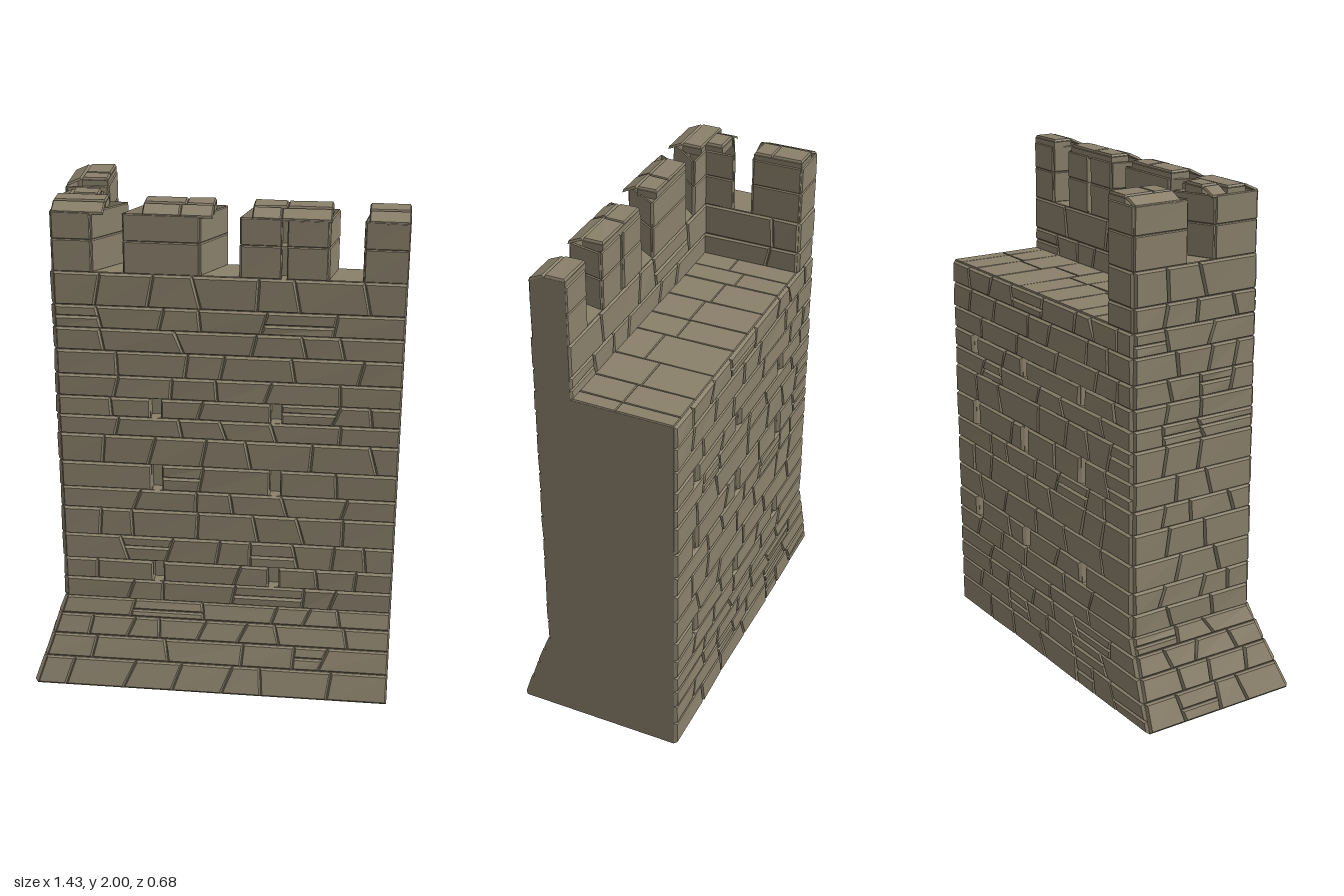
import * as THREE from 'three';

const stone = new THREE.MeshStandardMaterial({ color: 0x8a806b, side: THREE.DoubleSide });
stone.name = 'stone';

// Small seeded random generator
let seed = 11;
const rnd = (a = 0, b = 1) => {
  seed = (seed * 16807) % 2147483647;
  return a + (b - a) * (seed / 2147483647);
};
const lerp = (a, b, t) => a + (b - a) * t;

// Flat-shaded mesh from a list of quads, corners counter-clockwise
function quadMesh(name, quads) {
  const pos = [];
  for (const [a, b, c, d] of quads) for (const p of [a, b, c, a, c, d]) pos.push(p.x, p.y, p.z);
  const geo = new THREE.BufferGeometry();
  geo.setAttribute('position', new THREE.Float32BufferAttribute(pos, 3));
  geo.computeVertexNormals();
  const mesh = new THREE.Mesh(geo, stone);
  mesh.name = name;
  return mesh;
}

// Masonry on a surface P(u, v): u runs 0..1 along it, v runs through the courses
function masonry(name, P, courses, opt = {}) {
  const { min = 0.12, max = 0.3, rise = 0.012, skew = 0.016, split = 0.1, windows = {}, opening = 0.04, bevel = 0.007 } = opt;
  const stones = [], backing = [], recesses = [];

  const normal = (u, v) => {
    const e = 1e-3;
    const du = P(u + e, v).sub(P(u - e, v));
    return du.cross(P(u, v + e).sub(P(u, v - e))).normalize();
  };
  const sides = (a, b) => [0, 1, 2, 3].map((i) => [a[i], a[(i + 1) % 4], b[(i + 1) % 4], b[i]]);

  // One block: raised face with a bevelled edge
  const addStone = (l0, l1, r0, r1, v0, v1, length) => {
    const n = normal((l0 + r0) / 2, (v0 + v1) / 2);
    const ring = (inset, lift) => {
      const iu = inset / length;
      const iv = Math.min(inset, (v1 - v0) * 0.3);
      return [[l0 + iu, v0 + iv], [r0 - iu, v0 + iv], [r1 - iu, v1 - iv], [l1 + iu, v1 - iv]]
        .map(([u, v]) => P(u, v).addScaledVector(n, lift * rnd(0.8, 1.2)));
    };
    const low = ring(0.001, 0), top = ring(bevel, rise);
    stones.push(top, ...sides(low, top));
  };

  // One opening: a shallow recess behind the surface
  const addRecess = (u0, u1, v0, v1) => {
    const n = normal((u0 + u1) / 2, (v0 + v1) / 2);
    const outer = [P(u0, v0), P(u1, v0), P(u1, v1), P(u0, v1)];
    const inner = outer.map((p) => p.clone().addScaledVector(n, -0.04));
    recesses.push(inner, ...sides(outer, inner));
  };

  for (let c = 0; c < courses.length - 1; c++) {
    const v0 = courses[c], v1 = courses[c + 1];
    const length = P(0, v0).distanceTo(P(1, v0));
    const half = opening / 2 / length;
    let start = 0;
    for (const w of [...(windows[c] || []), null]) {
      const end = w === null ? 1 : w - half;
      backing.push([P(start, v0), P(end, v0), P(end, v1), P(start, v1)]);
      if (w !== null) addRecess(w - half, w + half, v0, v1);
      let a0 = start, a1 = start;
      while (a0 < end - 1e-6) {
        let b = a0 + rnd(min, max) / length, b0, b1;
        if (end - b < (min * 0.7) / length) b0 = b1 = end;
        else {
          const s = rnd(-skew, skew) / length;
          b0 = b + s;
          b1 = b - s;
        }
        if (rnd() < split) {
          // Two thin slabs in place of one block
          const t = rnd(0.4, 0.6), vm = lerp(v0, v1, t), am = lerp(a0, a1, t), bm = lerp(b0, b1, t);
          addStone(a0, am, b0, bm, v0, vm, length);
          addStone(am, a1, bm, b1, vm, v1, length);
        } else addStone(a0, a1, b0, b1, v0, v1, length);
        a0 = b0;
        a1 = b1;
      }
      start = w + half;
    }
  }
  const group = new THREE.Group();
  group.name = name;
  group.add(quadMesh(name + 'Stones', stones), quadMesh(name + 'Joints', backing));
  if (recesses.length) group.add(quadMesh(name + 'Openings', recesses));
  return group;
}

// Upright surface from [x, z] to [x, z], seen left to right from outside
const upright = (a, b) => (u, v) => new THREE.Vector3(lerp(a[0], b[0], u), v, lerp(a[1], b[1], u));

function box(name, x0, x1, y0, y1, z0, z1) {
  const mesh = new THREE.Mesh(new THREE.BoxGeometry(x1 - x0, y1 - y0, z1 - z0), stone);
  mesh.position.set((x0 + x1) / 2, (y0 + y1) / 2, (z0 + z1) / 2);
  mesh.name = name;
  return mesh;
}

export function createModel() {
  seed = 11;
  const model = new THREE.Group();
  model.name = 'castleWall';

  // Wall extents, with the sloping foot on two sides
  const RIGHT = 0.71, BACK = -0.325, WALK = 1.52, INNER = 0.07, SIDE = -0.44;
  const foot = (v) => Math.max(0, 1 - v / 0.35);
  const left = (v) => -0.595 - 0.115 * foot(v);
  const front = (v) => 0.205 + 0.125 * foot(v);
  const courses = [0, 0.11, 0.2, 0.28, 0.35, 0.44, 0.53, 0.64, 0.76, 0.85, 0.96, 1.08, 1.16, 1.24, 1.33, 1.43, 1.52, 1.61, 1.74];
  const low = courses.slice(0, 17);
  const slots = (us) => ({ 5: us, 9: us, 12: us });
  const across = (x) => (x - left(1)) / (RIGHT - left(1));

  // Main faces
  model.add(
    masonry('frontWall', (u, v) => new THREE.Vector3(lerp(left(v), RIGHT, u), v, front(v)), courses,
      { windows: slots([across(-0.22), across(0.24)]) }),
    masonry('sideWall', (u, v) => new THREE.Vector3(left(v), v, lerp(BACK, front(v), u)), courses, { max: 0.2 }),
    masonry('backWall', (u, v) => new THREE.Vector3(lerp(RIGHT, left(v), u), v, BACK), low,
      { windows: slots([0.54, 0.15, -0.27].map((x) => 1 - across(x))) }),
  );

  // Plain cut end
  const outline = [[0.33, 0], [0.205, 0.35], [0.205, 1.965], [0.16, 1.99], [INNER, 1.99], [INNER, WALK], [BACK, WALK], [BACK, 0]];
  const end = new THREE.Mesh(new THREE.ShapeGeometry(new THREE.Shape(outline.map(([z, y]) => new THREE.Vector2(-z, y)))), stone);
  end.rotation.y = Math.PI / 2;
  end.position.x = RIGHT;
  end.name = 'cutEnd';
  model.add(end);

  // Walkway paving, and the inner faces of the parapet
  const parapet = { rise: 0.008, split: 0.05 };
  model.add(
    masonry('walkway', (u, v) => new THREE.Vector3(v, WALK, lerp(BACK, INNER, u)),
      [SIDE, -0.34, -0.24, -0.09, 0.06, 0.19, 0.37, 0.53, 0.65, RIGHT],
      { min: 0.14, max: 0.3, skew: 0, split: 0, rise: 0.005, bevel: 0.003 }),
    masonry('parapetInner', upright([RIGHT, INNER], [SIDE, INNER]), [WALK, 1.61, 1.74], parapet),
    masonry('sideParapetInner', upright([SIDE, INNER], [SIDE, BACK]), [WALK, 1.61, 1.74], parapet),
    masonry('sideParapetEnd', upright([SIDE, BACK], [left(1), BACK]), [WALK, 1.61, 1.74], parapet),
  );

  // Merlons: footprints anticlockwise from above, with slanting sides; the third has a slit
  const F = front(1), L = left(1);
  const merlons = [
    [[L, F], [-0.45, F], [-0.33, INNER], [SIDE, INNER], [SIDE, -0.05], [L, 0.02]],
    [[-0.33, F], [-0.05, F], [0.04, INNER], [-0.25, INNER]],
    [[0.1, F], [0.42, F], [0.45, INNER], [0.14, INNER]],
    [[0.55, F], [RIGHT, F], [RIGHT, INNER], [0.57, INNER]],
    [[L, -0.1], [SIDE, -0.13], [SIDE, BACK], [L, BACK]],
  ];
  merlons.forEach((pts, m) => {
    const merlon = new THREE.Group();
    merlon.name = 'merlon' + (m + 1);
    pts.forEach((a, i) => {
      const b = pts[(i + 1) % pts.length];
      if (a[0] === RIGHT && b[0] === RIGHT) return;
      const windows = m === 2 && i % 2 === 0 ? { 0: [0.5], 1: [0.5] } : {};
      merlon.add(masonry('merlonFace', upright(a, b), [1.74, 1.865, 1.97],
        { min: 0.3, max: 0.4, skew: 0, split: 0, rise: 0.005, bevel: 0.004, opening: 0.02, windows }));
    });
    model.add(merlon);
  });

  // Merlon caps: paved tops sloping down to the outer edge
  const capOpt = { min: 0.1, max: 0.16, skew: 0, split: 0, rise: 0.008, bevel: 0.005 };
  const capY = (t) => 1.962 + 0.028 * Math.min(1, t / 0.06);
  for (const [x0, x1] of [[L, -0.4], [-0.26, 0], [0.14, 0.43], [0.56, RIGHT]]) {
    model.add(
      masonry('frontCap', (u, t) => new THREE.Vector3(lerp(x0, x1, u), capY(t), F + 0.005 - t), [0, 0.06, 0.14], capOpt),
      box('capEdge', x0, x1, 1.96, 1.988, INNER, F - 0.055),
    );
  }
  for (const [z0, z1] of [[0, INNER], [BACK, -0.13]]) {
    model.add(
      masonry('sideCap', (u, t) => new THREE.Vector3(L - 0.005 + t, capY(t), lerp(z0, z1, u)).setZ(lerp(z0, z1, u)), [0, 0.06, 0.16], capOpt),
      box('capEdge', L + 0.055, SIDE, 1.96, 1.988, z0, z1),
    );
  }

  // Slanting sills in the gaps
  const sill = (a, b, c, d) => [a, b, c, d].map(([x, z]) => new THREE.Vector3(x, 1.742, z));
  const sills = [0, 1, 2].map((i) => {
    const p = merlons[i], q = merlons[i + 1];
    return sill(p[1], q[0], q[3], p[2]);
  });
  sills.push(sill(merlons[0][5], merlons[0][4], merlons[4][1], merlons[4][0]));
  model.add(quadMesh('sills', sills));
  return model;
}
